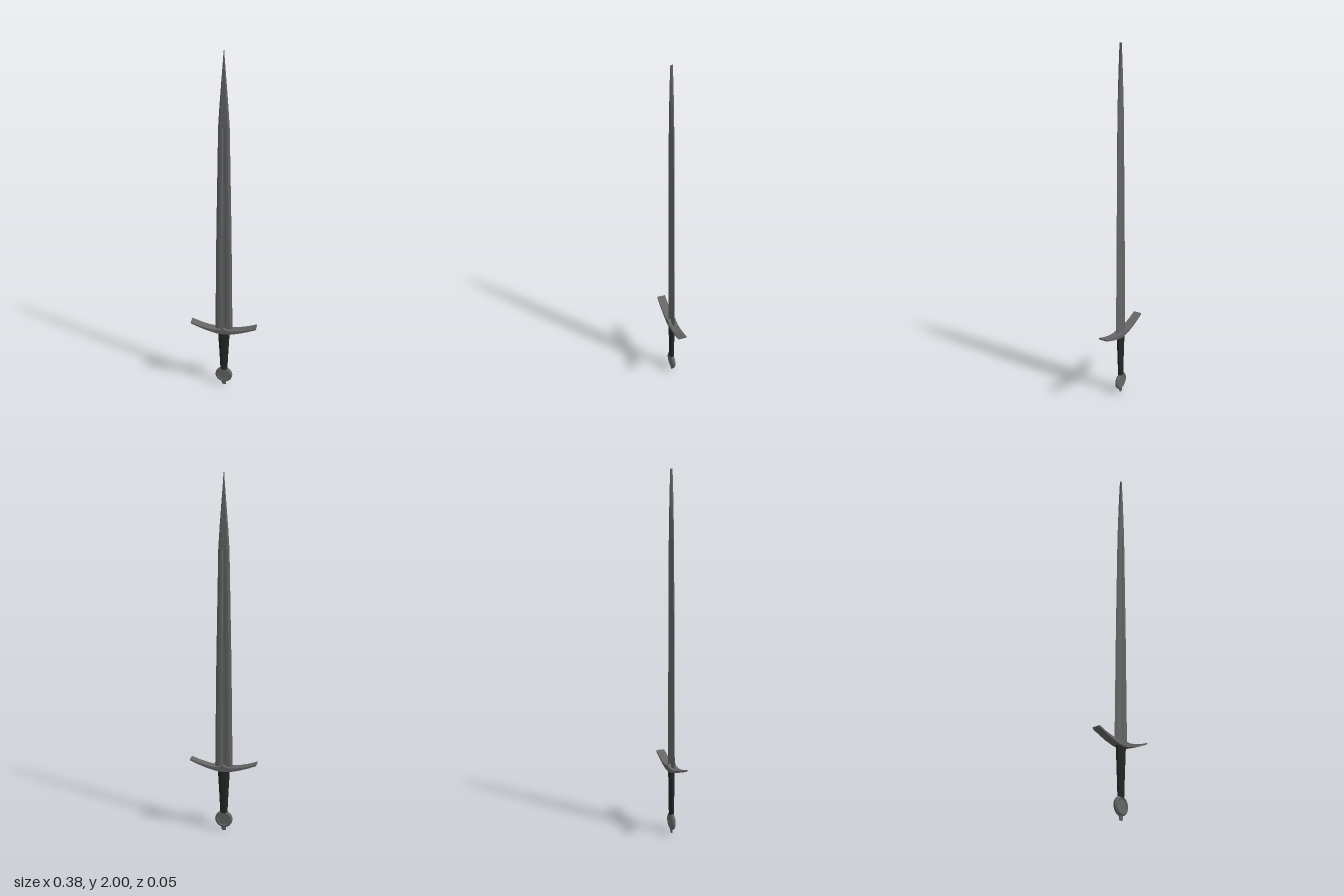
import * as THREE from 'three';

const steel = new THREE.MeshStandardMaterial({ color: 0x666666, flatShading: true });
const leather = new THREE.MeshStandardMaterial({ color: 0x262626, flatShading: true });

// Skin rings of [x, z] points (turning from +x to +z), stacked upward and scaled by [y, sx, sz]; both ends capped.
function loft(ring, levels) {
  const n = ring.length, pos = [], idx = [];
  for (const [y, sx, sz] of levels) for (const [x, z] of ring) pos.push(x * sx, y, z * sz);
  for (let l = 0; l < levels.length - 1; l++) {
    for (let i = 0; i < n; i++) {
      const a = l * n + i, b = l * n + (i + 1) % n;
      idx.push(a, a + n, b, b, a + n, b + n);
    }
  }
  const c0 = pos.length / 3, c1 = c0 + 1, top = (levels.length - 1) * n;
  pos.push(0, levels[0][0], 0, 0, levels[levels.length - 1][0], 0);
  for (let i = 0; i < n; i++) {
    const j = (i + 1) % n;
    idx.push(c0, i, j, c1, top + j, top + i);
  }
  const g = new THREE.BufferGeometry();
  g.setAttribute('position', new THREE.Float32BufferAttribute(pos, 3));
  g.setIndex(idx);
  const flat = g.toNonIndexed();
  flat.computeVertexNormals();
  return flat;
}

export function createModel() {
  const sword = new THREE.Group();
  sword.name = 'sword';
  const add = (name, geometry, material) => {
    const mesh = new THREE.Mesh(geometry, material);
    mesh.name = name;
    sword.add(mesh);
    return mesh;
  };

  // Blade: bevelled edges, flat faces and a shallow central fuller, ending in a solid point
  const half = [[1, 0], [0.66, 1], [0.28, 1], [0.14, 0.45], [-0.14, 0.45], [-0.28, 1], [-0.66, 1]];
  const fullered = [...half, ...half.map(([x, z]) => [-x, -z])];
  add('blade', loft(fullered, [[0.385, 0.05, 0.008], [1.0, 0.042, 0.008], [1.61, 0.03, 0.008]]), steel);
  const hexagon = [[1, 0], [0.66, 1], [-0.66, 1], [-1, 0], [-0.66, -1], [0.66, -1]];
  add('bladePoint', loft(hexagon,
    [[1.61, 0.03, 0.008], [1.72, 0.023, 0.008], [1.85, 0.013, 0.008], [1.95, 0.005, 0.007], [2.0, 0.001, 0.006]]), steel);

  // Crossguard: upswept bar, thicker in the middle
  const upper = [[0.19, 0.431], [0.14, 0.413], [0.09, 0.4], [0.045, 0.394], [0.015, 0.397], [0, 0.408]];
  const lower = [[0, 0.368], [0.04, 0.372], [0.09, 0.385], [0.14, 0.402], [0.187, 0.421]];
  const mirrored = (pts) => pts.filter(([x]) => x > 0).reverse().map(([x, y]) => [-x, y]);
  const outline = [...upper, ...mirrored(upper), ...mirrored(lower), ...lower];
  const shape = new THREE.Shape(outline.map(([x, y]) => new THREE.Vector2(x, y)));
  const guard = new THREE.ExtrudeGeometry(shape, { depth: 0.048, bevelEnabled: false });
  guard.translate(0, 0, -0.024);
  add('crossguard', guard, steel);

  // Grip: eight-sided, narrowing towards the pommel
  const octagon = Array.from({ length: 8 }, (_, i) => {
    const a = (i + 0.5) * Math.PI / 4;
    return [Math.cos(a) * 1.08, Math.sin(a) * 1.08];
  });
  add('grip', loft(octagon, [[0.11, 0.02, 0.0125], [0.24, 0.026, 0.0135], [0.385, 0.034, 0.0145]]), leather);

  // Pommel: thin wheel with a raised ring and bevelled rim
  const profile = [[0, -0.008], [0.034, -0.008], [0.037, -0.011], [0.041, -0.011], [0.05, -0.005],
    [0.05, 0.005], [0.041, 0.011], [0.037, 0.011], [0.034, 0.008], [0, 0.008]];
  const wheel = new THREE.LatheGeometry(profile.map(([r, h]) => new THREE.Vector2(r, h)), 24);
  wheel.rotateX(Math.PI / 2);
  add('pommel', wheel, steel).position.y = 0.07;

  // Tang button under the pommel
  add('tangButton', loft(octagon, [[0, 0.012, 0.004], [0.035, 0.014, 0.008]]), steel);

  return sword;
}
